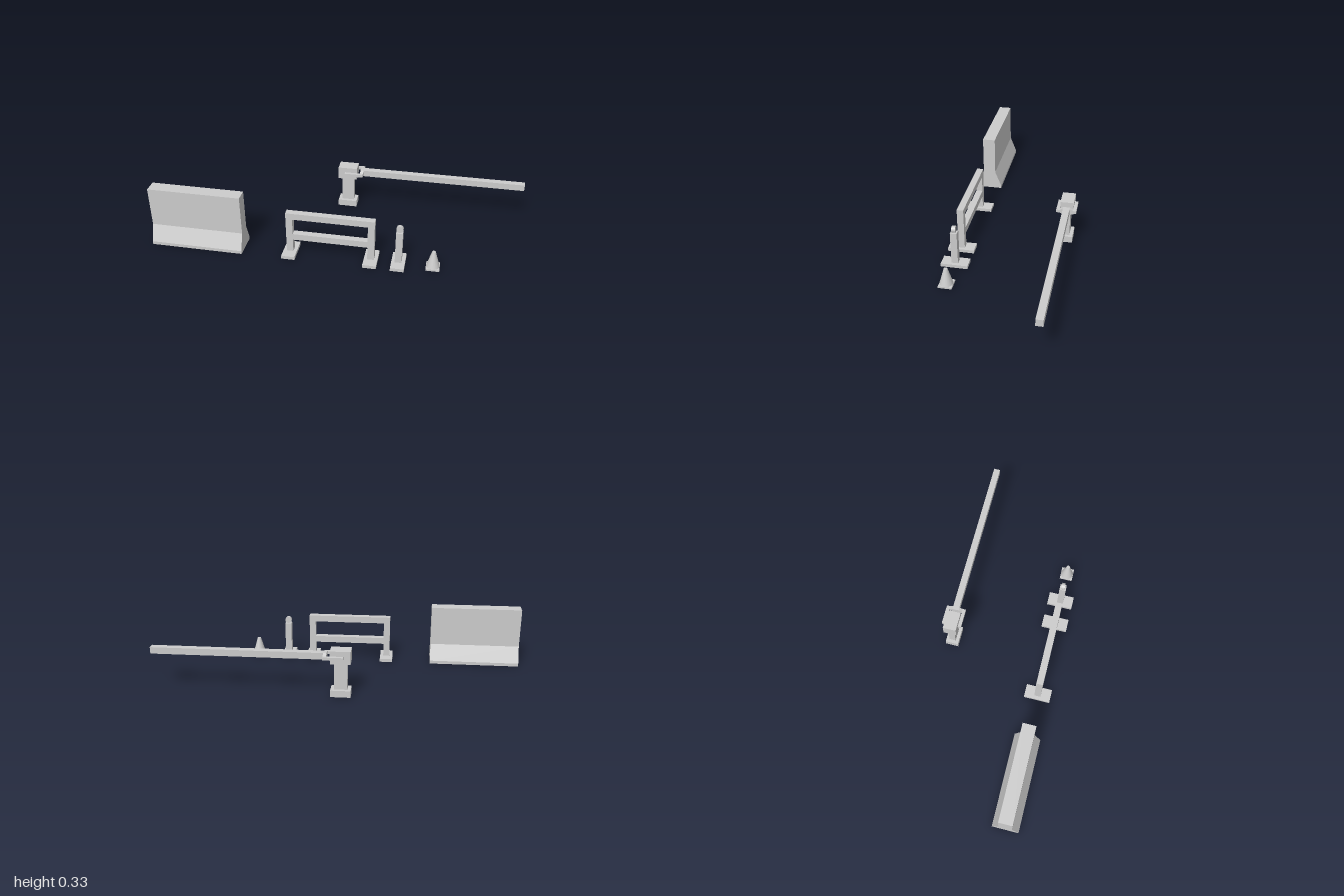
import * as THREE from 'three';

const grey = new THREE.MeshStandardMaterial({ color: 0xcccccc, flatShading: true, side: THREE.DoubleSide });
const smooth = new THREE.MeshStandardMaterial({ color: 0xcccccc, side: THREE.DoubleSide });
const FRONT_Z = 0.267, BACK_Z = -0.284;

function add(parent, name, geometry, material = grey) {
  const mesh = new THREE.Mesh(geometry, material);
  mesh.name = name;
  parent.add(mesh);
  return mesh;
}

// Box given by its extents on each axis
function box(parent, name, [x0, x1], [y0, y1], [z0, z1]) {
  const mesh = add(parent, name, new THREE.BoxGeometry(x1 - x0, y1 - y0, z1 - z0));
  mesh.position.set((x0 + x1) / 2, (y0 + y1) / 2, (z0 + z1) / 2);
  return mesh;
}

function group(parent, name, x, z) {
  const g = new THREE.Group();
  g.name = name;
  g.position.set(x, 0, z);
  parent.add(g);
  return g;
}

const shapeOf = (points) => new THREE.Shape(points.map(([x, y]) => new THREE.Vector2(x, y)));
const extrude = (shape, depth) => new THREE.ExtrudeGeometry(shape, { depth, bevelEnabled: false });
const sym = (h) => [-h, h];

// Flared concrete wall section, a shell open underneath
function buildWall(root) {
  const g = group(root, 'concreteBarrier', -0.745, FRONT_Z);
  const half = [[0.073, 0], [0.073, 0.018], [0.0365, 0.11], [0.0365, 0.331]];
  const profile = [...half, ...half.map(([z, y]) => [-z, y]).reverse()];
  const L = 0.255;
  const pos = [];
  const quad = (a, b, c, d) => pos.push(...a, ...b, ...c, ...a, ...c, ...d);
  for (let i = 0; i < profile.length - 1; i++) {
    const [z0, y0] = profile[i], [z1, y1] = profile[i + 1];
    quad([-L, y0, z0], [L, y0, z0], [L, y1, z1], [-L, y1, z1]);
  }
  // End faces, one band per profile step
  for (let i = 0; i < half.length - 1; i++) {
    const [z0, y0] = half[i], [z1, y1] = half[i + 1];
    quad([L, y0, z0], [L, y0, -z0], [L, y1, -z1], [L, y1, z1]);
    quad([-L, y0, -z0], [-L, y0, z0], [-L, y1, z1], [-L, y1, -z1]);
  }
  const geo = new THREE.BufferGeometry();
  geo.setAttribute('position', new THREE.Float32BufferAttribute(pos, 3));
  geo.computeVertexNormals();
  add(g, 'wallShell', geo);
}

// Two-rail fence on flat feet
function buildFence(root) {
  const g = group(root, 'railFence', -0.012, FRONT_Z);
  const w = 0.238, t = 0.036;
  const frame = shapeOf([
    [-w, 0.018], [-w + t, 0.018], [-w + t, 0.093], [w - t, 0.093],
    [w - t, 0.018], [w, 0.018], [w, 0.257], [-w, 0.257],
  ]);
  frame.holes.push(shapeOf([[-w + t, 0.129], [-w + t, 0.221], [w - t, 0.221], [w - t, 0.129]]));
  add(g, 'fenceFrame', extrude(frame, t)).position.z = -t / 2;
  for (const s of [-1, 1]) {
    const x = s * (w - t / 2);
    box(g, s < 0 ? 'rightFoot' : 'leftFoot', [x - 0.0365, x + 0.0365], [0, 0.018], sym(0.073));
  }
}

// Short marker post with a round reflector
function buildPost(root) {
  const g = group(root, 'markerPost', 0.355, FRONT_Z);
  box(g, 'postFoot', sym(0.0365), [0, 0.018], sym(0.073));
  box(g, 'post', sym(0.018), [0.018, 0.203], sym(0.018));
  const disc = add(g, 'reflector', new THREE.CylinderGeometry(0.0185, 0.0185, 0.02, 16), smooth);
  disc.rotation.x = Math.PI / 2;
  disc.position.y = 0.2215;
}

// Traffic cone, hollow from below
function buildCone(root) {
  const g = group(root, 'trafficCone', 0.538, FRONT_Z);
  const h = 0.0365;
  const plate = shapeOf([[-h, -h], [h, -h], [h, h], [-h, h]]);
  plate.holes.push(new THREE.Path().absarc(0, 0, 0.0345, 0, Math.PI * 2, true));
  add(g, 'conePlate', extrude(plate, 0.01)).rotation.x = -Math.PI / 2;
  add(g, 'coneBody', new THREE.CylinderGeometry(0.01, 0.036, 0.091, 16, 1, true), smooth).position.y = 0.0555;
  const cap = add(g, 'coneTop', new THREE.CircleGeometry(0.01, 16));
  cap.rotation.x = -Math.PI / 2;
  cap.position.y = 0.101;
}

// Boom gate: pedestal, pivot head, forked bracket and long arm
function buildGate(root) {
  const g = group(root, 'boomGate', -0.012, BACK_Z);
  box(g, 'gateBase', sym(0.054), [0, 0.037], sym(0.0365));
  box(g, 'gateColumn', sym(0.035), [0.037, 0.186], sym(0.018));
  box(g, 'gateHead', sym(0.054), [0.186, 0.257], sym(0.0365));
  for (const s of [-1, 1]) {
    const z = s * 0.0455;
    box(g, 'forkSide', [-0.016, 0.073], [0.2135, 0.2295], [z - 0.009, z + 0.009]);
  }
  // Cross piece swells to the arm's height in the middle
  const upper = [[0.0545, 0.008], [0.0365, 0.008], [0.018, 0.018], [-0.018, 0.018], [-0.0365, 0.008], [-0.0545, 0.008]];
  const cross = add(g, 'forkBridge', extrude(shapeOf([...upper, ...upper.map(([z, y]) => [-z, -y])]), 0.018));
  cross.rotation.y = Math.PI / 2;
  cross.position.set(0.073, 0.2215, 0);
  box(g, 'gateArm', [0.091, 1.012], [0.2035, 0.2395], sym(0.018));
}

export function createModel() {
  const root = new THREE.Group();
  root.name = 'roadBarrierSet';
  buildWall(root);
  buildFence(root);
  buildPost(root);
  buildCone(root);
  buildGate(root);
  return root;
}
